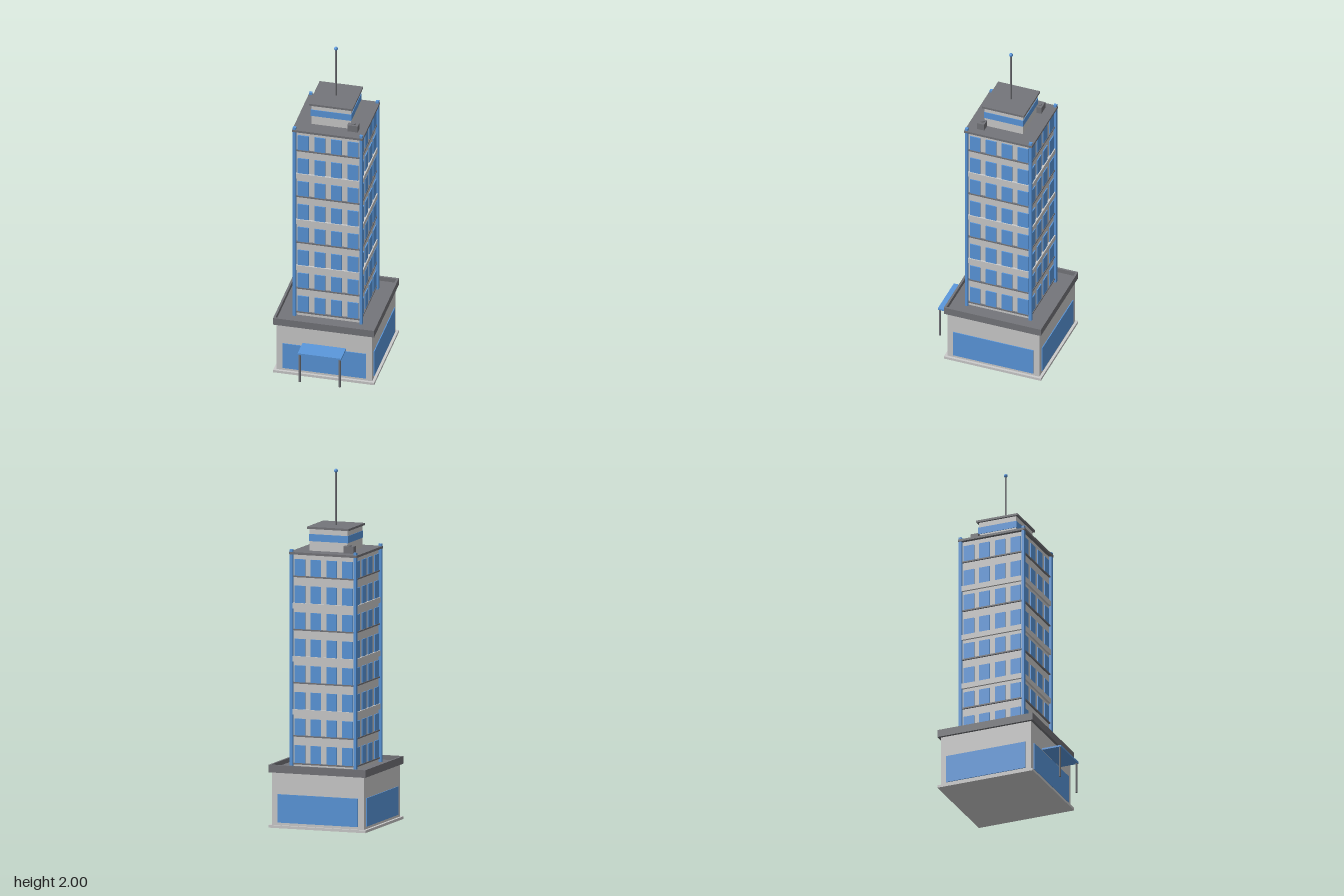
import * as THREE from 'three';

const grey = new THREE.MeshStandardMaterial({ color: 0xcccccc });
const dark = new THREE.MeshStandardMaterial({ color: 0x74757a });
const blue = new THREE.MeshStandardMaterial({ color: 0x5a97dc });

function add(parent, name, geometry, material, x, y, z) {
  const mesh = new THREE.Mesh(geometry, material);
  mesh.name = name;
  mesh.position.set(x, y, z);
  parent.add(mesh);
  return mesh;
}

// Box given by its size, bottom height and centre
function box(parent, name, mat, w, d, y0, y1, x = 0, z = 0) {
  return add(parent, name, new THREE.BoxGeometry(w, y1 - y0, d), mat, x, (y0 + y1) / 2, z);
}

function rod(parent, name, mat, r, y0, y1, x = 0, z = 0, sides = 12) {
  return add(parent, name, new THREE.CylinderGeometry(r, r, y1 - y0, sides), mat, x, (y0 + y1) / 2, z);
}

// Four groups turned to face front, left, back and right
function eachSide(parent, name, build) {
  for (let i = 0; i < 4; i++) {
    const side = new THREE.Group();
    side.name = name;
    side.rotation.y = i * Math.PI / 2;
    build(side);
    parent.add(side);
  }
}

function podium() {
  const g = new THREE.Group();
  g.name = 'podium';
  box(g, 'plinth', grey, 0.58, 0.58, 0, 0.015);
  box(g, 'podiumWalls', grey, 0.55, 0.55, 0.015, 0.312);
  box(g, 'podiumRoof', dark, 0.558, 0.558, 0.312, 0.33);

  // Parapet: square ring around the roof
  const ring = new THREE.Shape();
  const hole = new THREE.Path();
  const square = (path, h) => path.moveTo(-h, -h).lineTo(h, -h).lineTo(h, h).lineTo(-h, h).closePath();
  square(ring, 0.29);
  square(hole, 0.278);
  ring.holes.push(hole);
  const geometry = new THREE.ExtrudeGeometry(ring, { depth: 0.043, bevelEnabled: false });
  geometry.rotateX(-Math.PI / 2);
  add(g, 'parapet', geometry, dark, 0, 0.312, 0);

  eachSide(g, 'shopFront', side => box(side, 'shopGlass', blue, 0.48, 0.012, 0.03, 0.19, 0, 0.274));
  return g;
}

function tower() {
  const g = new THREE.Group();
  g.name = 'tower';
  box(g, 'towerWalls', grey, 0.366, 0.366, 0.33, 1.535);
  box(g, 'towerRoof', dark, 0.406, 0.406, 1.535, 1.548);

  // Eight floors of four windows on every side
  eachSide(g, 'facade', side => {
    for (let floor = 0; floor < 8; floor++) {
      for (let col = 0; col < 4; col++) {
        const y = 0.358 + floor * 0.15;
        box(side, 'window', blue, 0.062, 0.012, y, y + 0.1, (col - 1.5) * 0.095, 0.183);
      }
    }
  });

  // Thin sill on odd floors, thick band on even floors
  for (let floor = 0; floor < 8; floor++) {
    const y = 0.358 + floor * 0.15;
    if (floor % 2) box(g, 'sill', dark, 0.384, 0.384, y - 0.002, y + 0.006);
    else if (floor) box(g, 'band', grey, 0.39, 0.39, y - 0.028, y + 0.003);
    else box(g, 'sill', dark, 0.384, 0.384, y - 0.008, y);
  }

  // Corner columns
  for (const sx of [-1, 1]) for (const sz of [-1, 1]) {
    box(g, 'cornerColumn', blue, 0.017, 0.017, 0.33, 1.562, sx * 0.191, sz * 0.191);
  }
  return g;
}

function rooftop() {
  const g = new THREE.Group();
  g.name = 'rooftop';
  box(g, 'penthouseWalls', grey, 0.228, 0.228, 1.548, 1.672);
  box(g, 'penthouseGlass', blue, 0.234, 0.234, 1.602, 1.642);
  box(g, 'penthouseRoof', dark, 0.25, 0.25, 1.672, 1.684);

  // Cooling units with a fan on top, at opposite corners
  for (const s of [-1, 1]) {
    box(g, 'coolingUnit', dark, 0.06, 0.044, 1.548, 1.588, s * 0.13, s * 0.121);
    rod(g, 'coolingFan', dark, 0.014, 1.588, 1.593, s * 0.13, s * 0.121, 16);
  }

  rod(g, 'mast', dark, 0.005, 1.684, 1.985);
  add(g, 'mastLight', new THREE.SphereGeometry(0.011, 16, 12), blue, 0, 1.989, 0);
  return g;
}

function canopy() {
  const g = new THREE.Group();
  g.name = 'entranceCanopy';
  box(g, 'canopyRoof', blue, 0.25, 0.115, 0.198, 0.208, 0, 0.2825);
  for (const s of [-1, 1]) rod(g, 'canopyPost', dark, 0.006, 0.018, 0.198, s * 0.115, 0.33);
  return g;
}

export function createModel() {
  const model = new THREE.Group();
  model.name = 'officeTower';
  const building = new THREE.Group();
  building.name = 'building';
  building.position.z = -0.05;
  building.add(podium(), tower(), rooftop());
  model.add(building, canopy());
  return model;
}
